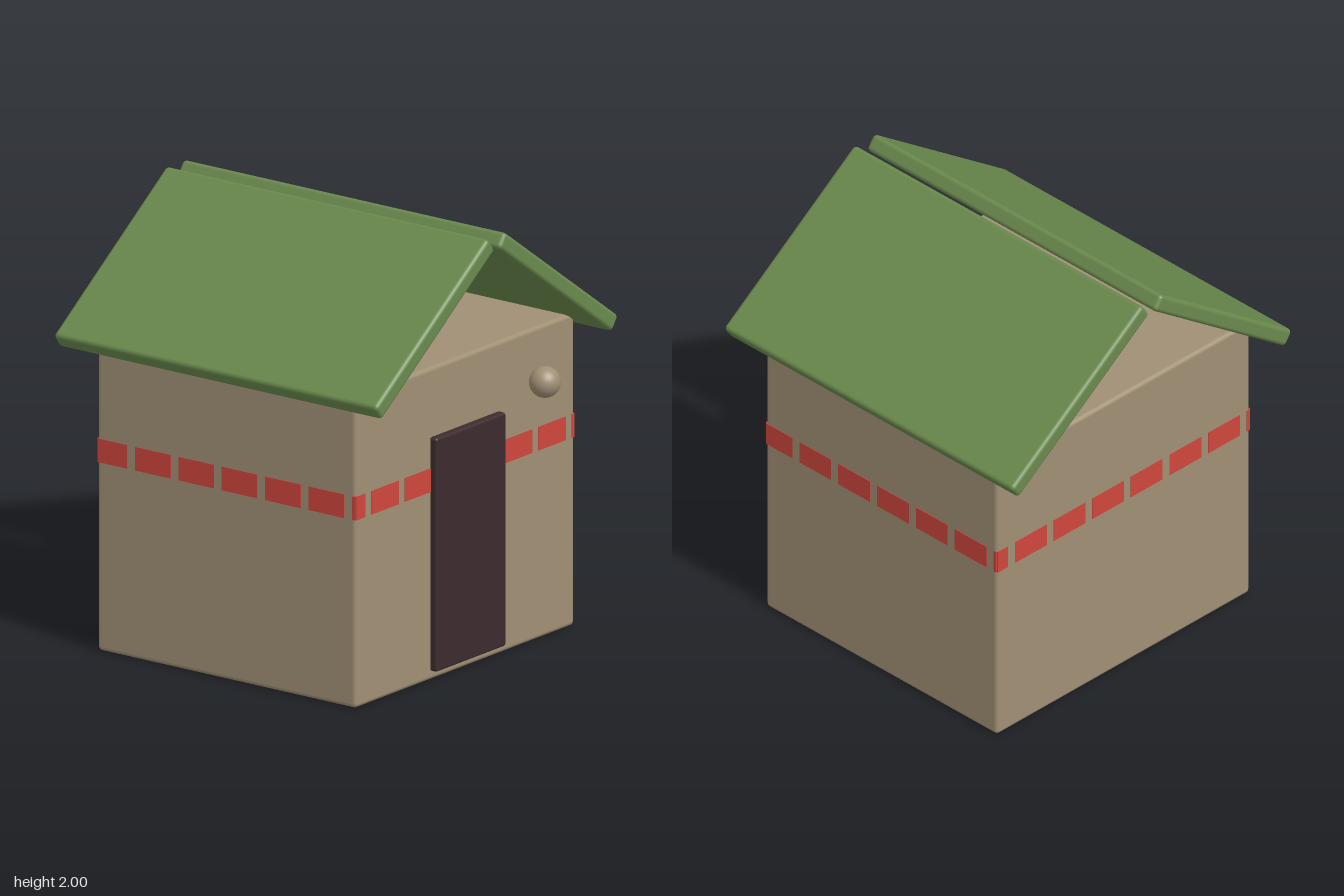
import * as THREE from 'three';
import { RoundedBoxGeometry } from 'three/addons/geometries/RoundedBoxGeometry.js';

const material = (name, color) => {
  const m = new THREE.MeshStandardMaterial({ color });
  m.name = name;
  return m;
};

export function createModel() {
  const tan = material('tan plaster', 0xa08f74);
  const green = material('green roof', 0x69894c);
  const brown = material('dark brown door', 0x3c2c2e);
  const red = material('red stripe', 0xcf463c);
  const house = new THREE.Group();
  house.name = 'house';

  const add = (parent, name, geometry, mat, x, y, z) => {
    const mesh = new THREE.Mesh(geometry, mat);
    mesh.name = name;
    mesh.position.set(x, y, z);
    parent.add(mesh);
    return mesh;
  };

  // Walls: one softly rounded block
  const halfX = 0.785, halfZ = 0.713, wallTop = 1.43;
  add(house, 'walls', new RoundedBoxGeometry(halfX * 2, wallTop, halfZ * 2, 3, 0.02), tan, 0, wallTop / 2, 0);

  // Roof: two sloping slabs with a gap at the ridge
  for (const side of [-1, 1]) {
    const slab = add(house, side > 0 ? 'leftRoofSlab' : 'rightRoofSlab',
      new RoundedBoxGeometry(1.0, 0.08, 1.784, 3, 0.02), green, side * 0.443, 1.687, 0);
    slab.rotation.z = -side * 0.62;
  }

  // Door and the round lamp beside it
  add(house, 'door', new RoundedBoxGeometry(0.5, 1.07, 0.05, 3, 0.012), brown, 0, 0.577, 0.723);
  add(house, 'lamp', new THREE.SphereGeometry(0.07, 32, 24), tan, 0.426, 1.222, 0.825);

  // Dashed stripe: the same pattern on each wall, cut off at the corners
  const period = 0.2395, dash = 0.196;
  const stripe = (name, half, distance, start, turn) => {
    const wall = new THREE.Group();
    wall.name = name;
    wall.rotation.y = turn;
    for (let u = start; u < half; u += period) {
      const a = Math.max(u, -half), b = Math.min(u + dash, half);
      if (b - a > 0.004) {
        add(wall, 'dash', new THREE.BoxGeometry(b - a, 0.108, 0.005), red, (a + b) / 2, 0.917, distance);
      }
    }
    house.add(wall);
  };
  for (const turn of [0, Math.PI]) {
    stripe(turn ? 'backStripe' : 'frontStripe', halfX - 0.003, halfZ, -0.914, turn);
    stripe(turn ? 'rightStripe' : 'leftStripe', halfZ - 0.003, halfX, -0.743, turn + Math.PI / 2);
  }

  return house;
}
